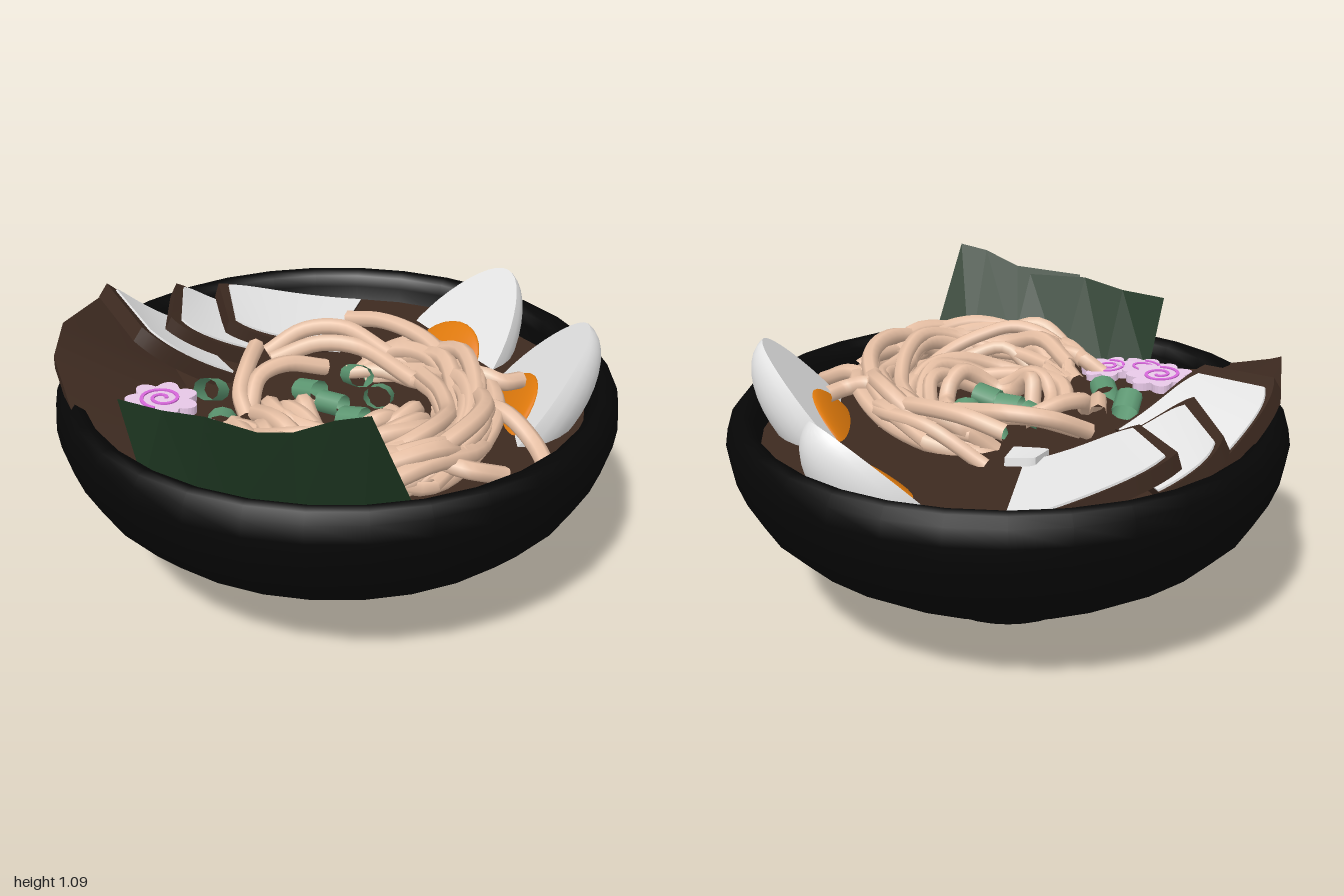
import * as THREE from 'three';
import { toCreasedNormals } from 'three/addons/utils/BufferGeometryUtils.js';

const V = (x, y, z) => new THREE.Vector3(x, y, z);

export function createModel() {
  const root = new THREE.Group();
  const material = (name, color, extra = {}) => {
    const m = new THREE.MeshStandardMaterial({ color, ...extra });
    m.name = name;
    return m;
  };
  const double = { side: THREE.DoubleSide };
  const black = material('bowl black', 0x060606);
  const brown = material('broth brown', 0x3d2a20, double);
  const noodle = material('noodle beige', 0xecc4a8);
  const white = material('egg white', 0xe6e6e6);
  const orange = material('yolk orange', 0xe07a0c);
  const seaweed = material('seaweed green', 0x1e3822, { ...double, flatShading: true });
  const green = material('onion green', 0x5c9671, double);
  const pink = material('fish cake pink', 0xf0d0f0);
  const magenta = material('swirl magenta', 0xd868dc);

  const add = (name, geometry, mat, parent = root) => {
    const mesh = new THREE.Mesh(geometry, mat);
    mesh.name = name;
    parent.add(mesh);
    return mesh;
  };
  let seed = 7;
  const rand = (a, b) => {
    seed = (seed * 16807) % 2147483647;
    return a + (b - a) * seed / 2147483647;
  };

  // Bowl: outer wall from the foot up, over the rim and down the inside
  const profile = [[0, 0], [0.29, 0], [0.305, 0.02], [0.315, 0.08], [0.34, 0.11], [0.5, 0.165],
    [0.7, 0.25], [0.82, 0.33], [0.91, 0.42], [0.96, 0.51], [0.99, 0.59], [1, 0.66], [0.99, 0.72],
    [0.965, 0.752], [0.935, 0.758], [0.905, 0.74], [0.89, 0.7], [0.88, 0.62], [0.8, 0.45],
    [0.5, 0.26], [0, 0.2]].map(p => new THREE.Vector2(...p));
  add('bowl', new THREE.LatheGeometry(profile, 32), black);
  const soup = add('broth', new THREE.CircleGeometry(0.888, 32), brown);
  soup.rotation.x = -Math.PI / 2;
  soup.position.y = 0.645;

  // Sagging slab between four corners (LF, RF, RB, LB), rounded towards its left end
  const slab = (corners, [u0, v0, u1, v1], w0, w1, sag) => {
    const [lf, rf, rb, lb] = corners.map(c => V(...c));
    const normal = rf.clone().sub(lf).cross(lb.clone().sub(lf)).normalize();
    const g = new THREE.BoxGeometry(1, 1, 1, 14, 10, 1);
    const p = g.attributes.position;
    for (let i = 0; i < p.count; i++) {
      const s = p.getX(i) + 0.5, t = p.getY(i) * (1 - 0.2 * (1 - s) ** 8) + 0.5;
      const u = u0 + (u1 - u0) * s, v = v0 + (v1 - v0) * t, w = w0 + (w1 - w0) * (p.getZ(i) + 0.5);
      const q = lf.clone().lerp(rf, u).lerp(lb.clone().lerp(rb, u), v);
      q.addScaledVector(normal, w - sag * 4 * u * (1 - u));
      p.setXYZ(i, q.x, q.y, q.z);
    }
    g.computeVertexNormals();
    return g;
  };

  // Meat slices with a dark rind along the left and front edges
  const slices = [
    [[-0.67, 0.88, -0.09], [-0.36, 0.67, -0.14], [-0.58, 0.7, -0.6], [-0.84, 0.94, -0.47]],
    [[-0.59, 0.84, -0.27], [-0.26, 0.68, -0.3], [-0.34, 0.69, -0.74], [-0.57, 0.83, -0.7]],
    [[-0.37, 0.78, -0.35], [0.01, 0.67, -0.36], [0.18, 0.66, -0.82], [-0.41, 0.81, -0.74]],
  ];
  slices.forEach((c, i) => {
    add('meatRind' + i, slab(c, [0, 0, 1, 1], -0.06, 0, 0.015), brown);
    add('meatFace' + i, slab(c, [i === 2 ? 0.07 : 0.12, 0.05, 1, 0.98], 0, 0.008, 0.015), white);
  });
  add('meatScrap', slab([[-0.08, 0.7, -0.34], [0.04, 0.7, -0.3], [0.09, 0.7, -0.39], [0, 0.71, -0.44]],
    [0, 0, 1, 1], -0.03, 0, 0), white);

  // Ruled sheet between an outer and an inner edge
  const sheet = (name, top, bottom, mat) => {
    const g = new THREE.PlaneGeometry(1, 1, top.length - 1, 1);
    [...top, ...bottom].forEach((q, i) => g.attributes.position.setXYZ(i, ...q));
    g.computeVertexNormals();
    return add(name, g, mat);
  };
  // Dark slice leaning on the left wall: upper and lower skin
  for (const drop of [0, 0.045]) {
    sheet('darkSlice',
      [[-0.85, 0.88, -0.44], [-0.965, 0.905, -0.15], [-0.99, 0.845, 0], [-0.91, 0.74, 0.27], [-0.78, 0.66, 0.5]],
      [[-0.55, 0.62, -0.3], [-0.5, 0.62, -0.12], [-0.5, 0.62, 0.05], [-0.52, 0.62, 0.25], [-0.56, 0.62, 0.42]],
      brown).position.y = -drop;
  }
  sheet('darkSliceEdge',
    [[-0.85, 0.88, -0.44], [-0.965, 0.905, -0.15], [-0.99, 0.845, 0], [-0.91, 0.74, 0.27]],
    [[-0.85, 0.835, -0.44], [-0.965, 0.86, -0.15], [-0.99, 0.8, 0], [-0.91, 0.695, 0.27]], brown);
  // Seaweed sheets standing at the front
  sheet('seaweedFront',
    [[-0.47, 0.97, 0.83], [-0.22, 1.0, 0.91], [-0.1, 1.06, 0.96], [0, 1.085, 0.99]],
    [[-0.4, 0.62, 0.74], [-0.2, 0.62, 0.79], [0, 0.62, 0.83], [0.18, 0.62, 0.83]], seaweed);
  sheet('seaweedSide',
    [[-0.74, 0.94, 0.53], [-0.6, 0.95, 0.64], [-0.47, 0.98, 0.75], [-0.27, 0.97, 0.88]],
    [[-0.68, 0.62, 0.52], [-0.52, 0.62, 0.6], [-0.36, 0.62, 0.69], [-0.16, 0.62, 0.79]], seaweed);

  // Halved eggs: a tapered ellipsoid flattened on its cut side
  const halfEgg = (name, center, outX, outZ, tilt) => {
    const egg = new THREE.Group();
    egg.name = name;
    const g = new THREE.SphereGeometry(1, 28, 20);
    const p = g.attributes.position;
    for (let i = 0; i < p.count; i++) {
      const y = p.getY(i);
      p.setXYZ(i, p.getX(i) * 0.26 * (1 - 0.25 * y), y * 0.345, Math.min(p.getZ(i), 0) * 0.19);
    }
    g.computeVertexNormals();
    add('eggWhite', toCreasedNormals(g, 0.8), white, egg);
    const yolk = add('yolk', new THREE.SphereGeometry(1, 24, 14), orange, egg);
    yolk.scale.set(0.19, 0.18, 0.03);
    yolk.position.y = -0.1;
    const c = Math.cos(tilt), s = Math.sin(tilt);
    const up = V(outX * c, s, outZ * c), face = V(-outX * s, c, -outZ * s);
    egg.setRotationFromMatrix(new THREE.Matrix4().makeBasis(up.clone().cross(face), up, face));
    egg.position.set(...center);
    root.add(egg);
  };
  halfEgg('frontEgg', [0.635, 0.7, 0.18], 0.995, 0.1, 0.9);
  halfEgg('backEgg', [0.5, 0.655, -0.39], 0.91, -0.41, 0.82);

  // Noodles: wavy arcs; angles in degrees, 0 = left side of the model, 90 = front
  const tube = (points, r) =>
    add('noodle', new THREE.TubeGeometry(new THREE.CatmullRomCurve3(points), points.length * 4, r, 7), noodle);
  const arc = (cx, cz, rx, rz, a0, a1, y) => {
    const n = Math.max(5, Math.round((a1 - a0) / 24)), pts = [];
    const phase = rand(0, 6), x0 = cx + rand(-0.025, 0.025), z0 = cz + rand(-0.03, 0.03);
    for (let i = 0; i <= n; i++) {
      const a = THREE.MathUtils.degToRad(a0 + (a1 - a0) * i / n);
      const k = 1 + 0.06 * Math.sin(a * 2.3 + phase) + rand(-0.035, 0.035);
      const end = i === 0 || i === n ? -0.06 : 0;
      pts.push(V(x0 + rx * k * Math.cos(a), y + 0.045 * Math.sin(a * 3 + phase) + end, z0 + rz * k * Math.sin(a)));
    }
    tube(pts, rand(0.026, 0.037));
  };
  for (let i = 0; i < 16; i++) {
    const f = 0.7 + 0.26 * (i / 15), a0 = rand(-95, -10);
    arc(0.06, 0.25, 0.45 * f, 0.55 * f, a0, Math.min(a0 + rand(140, 250), 170), rand(0.69, 0.78));
  }
  for (let i = 0; i < 5; i++) {
    const f = 0.16 + 0.045 * i, a0 = rand(-50, 20);
    arc(0.03, 0.22, f * 1.05, f * 0.9, a0, a0 + rand(170, 250), rand(0.65, 0.71));
  }
  for (let i = 0; i < 5; i++) {
    arc(0.02, 0.43, 0.42 - 0.03 * i, 0.34 - 0.03 * i, rand(10, 50), rand(150, 195), rand(0.7, 0.79));
  }
  // Loose strands
  const strands = [
    [[0.42, 0.74, 0.28], [0.52, 0.76, 0.4], [0.6, 0.7, 0.52], [0.63, 0.64, 0.66]],
    [[0.38, 0.74, 0.12], [0.48, 0.79, 0.17], [0.56, 0.77, 0.2], [0.63, 0.76, 0.17]],
    [[0.08, 0.7, 0.74], [0.22, 0.74, 0.67], [0.35, 0.73, 0.72], [0.47, 0.68, 0.68]],
    [[-0.24, 0.71, -0.24], [-0.1, 0.78, -0.28], [0.05, 0.8, -0.24], [0.2, 0.76, -0.08]],
    [[-0.22, 0.7, -0.2], [-0.05, 0.76, -0.2], [0.1, 0.76, -0.15], [0.27, 0.72, 0.06]],
    [[0.08, 0.78, -0.37], [0.2, 0.81, -0.27], [0.33, 0.8, -0.12], [0.42, 0.75, 0.05]],
    [[-0.28, 0.76, -0.2], [-0.32, 0.75, -0.05], [-0.35, 0.7, 0.06], [-0.33, 0.65, 0.15]],
    [[-0.32, 0.65, 0.12], [-0.28, 0.73, 0], [-0.18, 0.75, -0.06], [-0.03, 0.71, -0.1]],
    [[-0.24, 0.66, 0.08], [-0.25, 0.72, 0.2], [-0.18, 0.72, 0.33], [0, 0.7, 0.42], [0.18, 0.68, 0.4]],
    [[-0.45, 0.7, 0.36], [-0.36, 0.76, 0.42], [-0.25, 0.75, 0.54], [-0.16, 0.72, 0.7], [-0.05, 0.68, 0.78]],
  ];
  strands.forEach(s => tube(s.map(q => V(...q)), 0.031));

  // Spring onion rings
  const onions = [[-0.45, 0.02], [-0.42, 0.23], [-0.1, 0.02], [0.08, -0.08], [0.14, 0.09],
    [-0.03, 0.13], [0.03, 0.25], [0.1, 0.44]];
  onions.forEach(([x, z], i) => {
    const ring = add('springOnion', new THREE.CylinderGeometry(0.05, 0.05, 0.09, 10, 1, true), green);
    ring.position.set(x, i === 0 ? 0.7 : 0.68, z);
    ring.rotation.set(1.35 + rand(-0.25, 0.25), rand(-0.3, 0.3), rand(-1, 1));
    ring.scale.z = 0.8;
  });

  // Fish cakes: scalloped discs with a thin spiral on top
  const flower = new THREE.Shape(Array.from({ length: 72 }, (_, i) => {
    const a = i / 72 * Math.PI * 2, r = 0.09 + 0.038 * Math.abs(Math.sin(a * 3.5));
    return new THREE.Vector2(Math.cos(a) * r, Math.sin(a) * r);
  }));
  const spiral = (w) => Array.from({ length: 41 }, (_, i) => {
    const a = i / 40 * Math.PI * 3.4, r = 0.014 + 0.064 * i / 40 + w;
    return new THREE.Vector2(Math.cos(a) * r, Math.sin(a) * r);
  });
  const swirl = new THREE.Shape([...spiral(0.006), ...spiral(-0.006).reverse()]);
  const cakes = [[-0.62, 0.72, 0.17, 0.05], [-0.61, 0.7, 0.34, -0.05], [-0.48, 0.695, 0.38, 0.1]];
  cakes.forEach(([x, y, z, lean], i) => {
    const cake = new THREE.Group();
    cake.name = 'fishCake' + i;
    add('cake', new THREE.ExtrudeGeometry(flower, { depth: 0.03, bevelEnabled: false }), pink, cake);
    const s = add('swirl', new THREE.ExtrudeGeometry(swirl, { depth: 0.005, bevelEnabled: false }), magenta, cake);
    s.position.z = 0.03;
    cake.position.set(x, y, z);
    cake.rotation.set(-Math.PI / 2, lean, 0);
    cake.scale.setScalar(i ? 0.85 : 1);
    root.add(cake);
  });

  return root;
}
